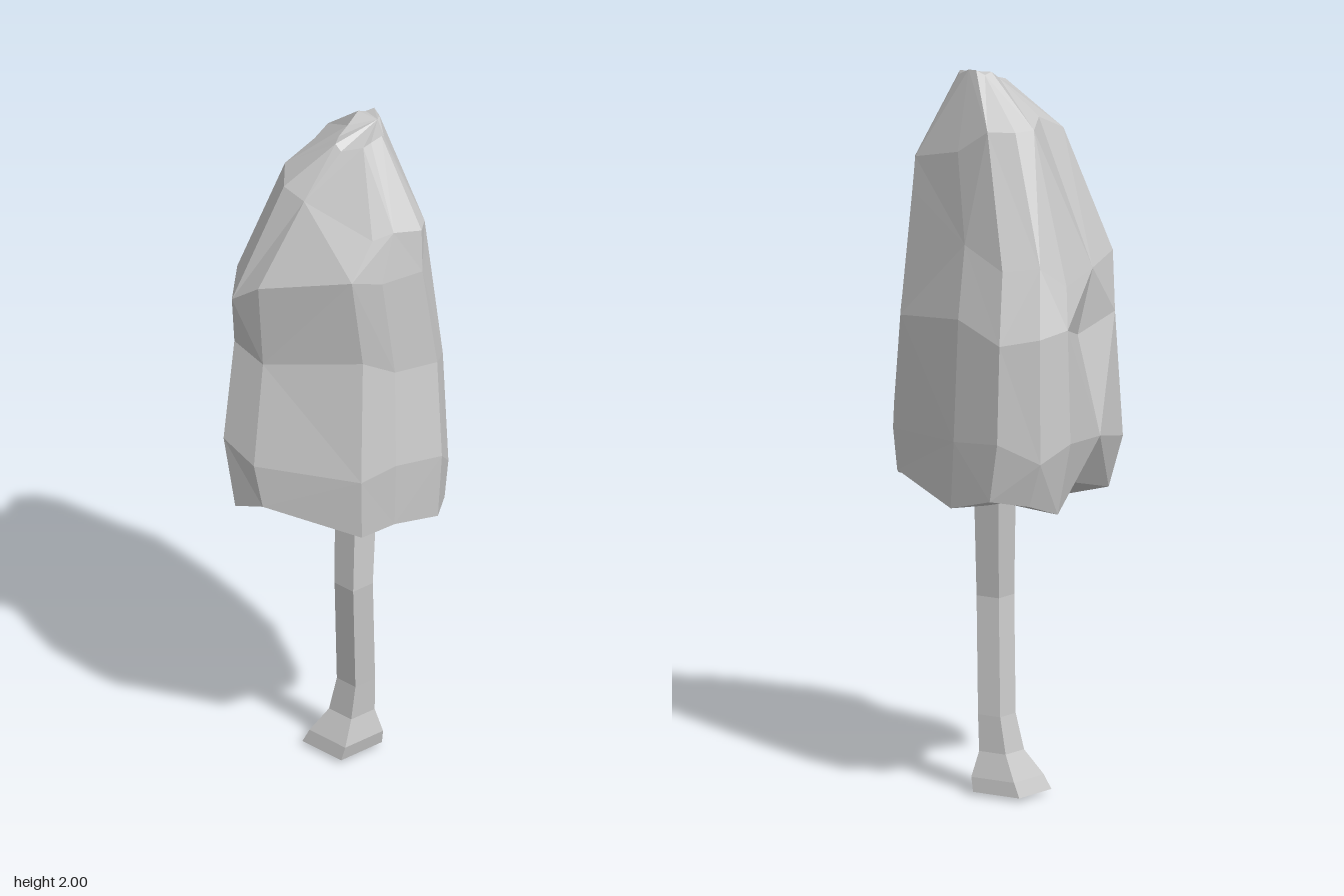
import * as THREE from 'three';

const material = new THREE.MeshStandardMaterial({ color: 0xcccccc, flatShading: true });

// Skin a stack of closed rings (counter-clockwise seen from above) and cap both ends
function loft(rings, bottom, top) {
  const n = rings[0].length, corners = [];
  const last = rings.length - 1;
  for (let j = 0; j < n; j++) {
    const k = (j + 1) % n;
    corners.push(bottom, rings[0][k], rings[0][j]);
    for (let i = 0; i < last; i++) {
      const [a, b, c, d] = [rings[i][j], rings[i][k], rings[i + 1][k], rings[i + 1][j]];
      // alternate the diagonal for irregular facets
      if ((i + j) % 2) corners.push(a, b, c, a, c, d);
      else corners.push(a, b, d, b, c, d);
    }
    corners.push(rings[last][j], rings[last][k], top);
  }
  const geometry = new THREE.BufferGeometry().setFromPoints(corners);
  geometry.computeVertexNormals();
  return geometry;
}

// Plan of the crown at its widest, from the front round to the left
const outline = [
  [0.015, 0.325], [0.08, 0.29], [0.25, 0], [0.315, -0.175], [0.27, -0.285], [0.185, -0.33],
  [0, -0.315], [-0.165, -0.29], [-0.305, -0.185], [-0.315, -0.065], [-0.19, 0.215], [-0.11, 0.27],
];

// Crown sections: height, centre x, centre z, scale x, scale z, slope along z
const crownSections = [
  [0.85, 0, 0.015, 0.96, 0.91, 0],
  [1.01, 0, 0, 1, 1, 0],
  [1.32, 0.015, -0.01, 0.91, 0.94, 0],
  [1.55, -0.03, 0, 0.88, 0.87, 0.25],
  [1.79, -0.02, 0.06, 0.58, 0.66, -0.22],
  [1.97, -0.03, 0.08, 0.25, 0.19, 0],
];

function createCrown() {
  const rings = crownSections.map(([y, cx, cz, sx, sz, slope], i) =>
    outline.map(([x, z], j) => {
      // the back is hollowed on alternate sections, the rims are uneven
      const dent = j === 6 && i % 2 === 0 ? 0.82 : 1;
      const lift = 0.03 * sx * Math.sin(j * 2.3 + i * 1.7);
      return new THREE.Vector3(cx + sx * x, y + lift + (1 - sx) * 0.12 * x + slope * z, cz + sz * z * dent);
    }));
  const bottom = new THREE.Vector3(-0.04, 0.785, 0);
  const top = new THREE.Vector3(0.02, 1.99, 0.085);
  const crown = new THREE.Mesh(loft(rings, bottom, top), material);
  crown.name = 'crown';
  return crown;
}

// Trunk sections: height, centre x, centre z, radius
const trunkSections = [
  [0.01, 0.037, -0.06, 0.108],
  [0.05, 0.037, -0.045, 0.1],
  [0.12, 0.043, -0.03, 0.062],
  [0.22, 0.043, -0.015, 0.052],
  [0.54, 0.003, 0.013, 0.052],
  [0.86, 0.028, 0, 0.058],
];

function createTrunk() {
  const sides = 4;
  const rings = trunkSections.map(([y, cx, cz, r]) =>
    Array.from({ length: sides }, (_, j) => {
      const angle = (j + 0.45) * Math.PI * 2 / sides;
      return new THREE.Vector3(cx + r * Math.sin(angle), y, cz + r * Math.cos(angle));
    }));
  const bottom = new THREE.Vector3(0.04, 0, -0.05);
  const top = new THREE.Vector3(0.028, 0.88, 0);
  const trunk = new THREE.Mesh(loft(rings, bottom, top), material);
  trunk.name = 'trunk';
  return trunk;
}

export function createModel() {
  const tree = new THREE.Group();
  tree.name = 'tree';
  tree.add(createTrunk(), createCrown());
  return tree;
}
